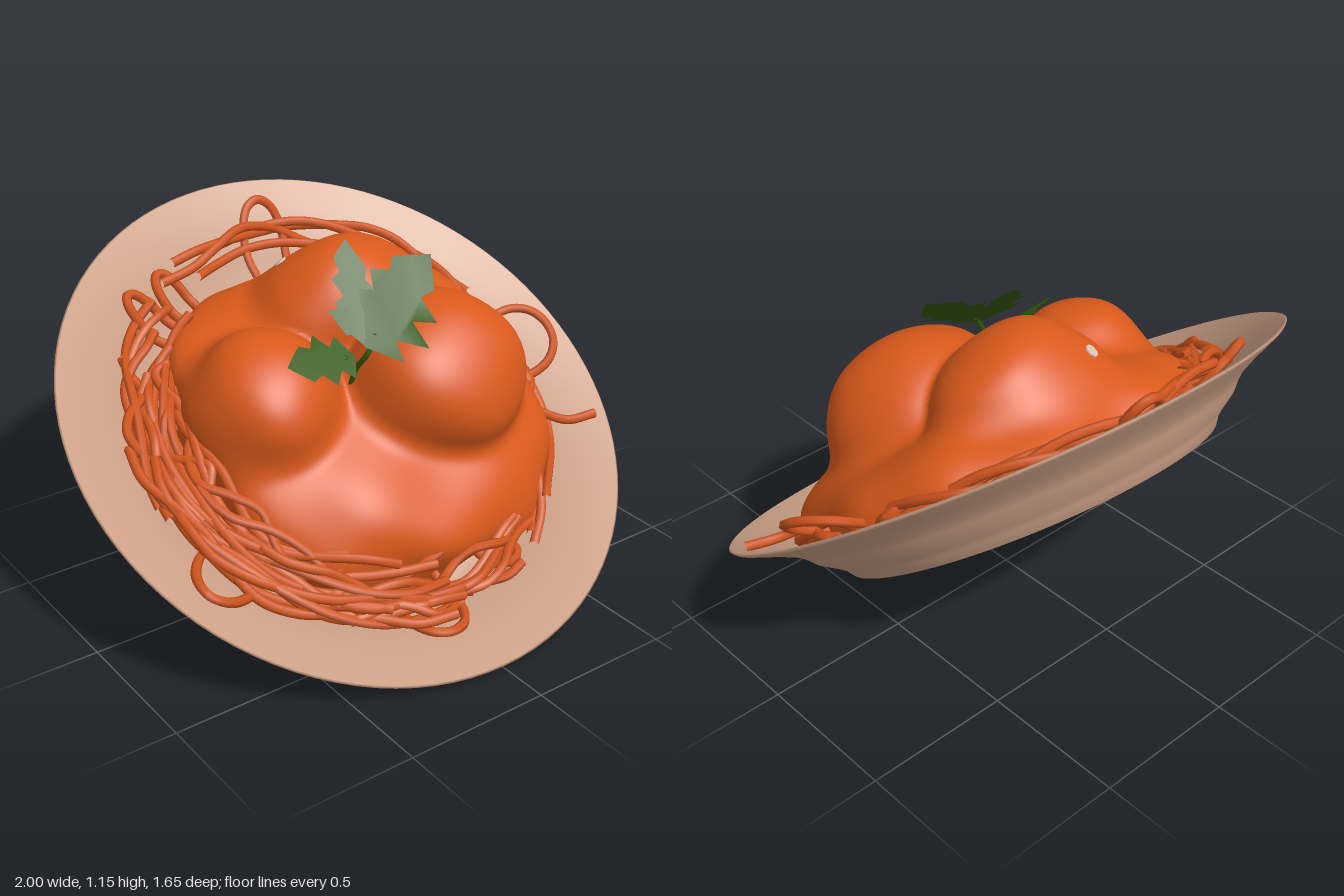
import * as THREE from 'three';
import { mergeVertices } from 'three/addons/utils/BufferGeometryUtils.js';

const TILT = Math.atan2(1.13, 1.65);
const CENTRE = new THREE.Vector3(0, 0.575, 0.005);
const X_AXIS = new THREE.Vector3(1, 0, 0);
const V = (x, y, z) => new THREE.Vector3(x, y, z);
const rad = THREE.MathUtils.degToRad;

function mat(name, color, extra = {}) {
  const m = new THREE.MeshStandardMaterial({ color, ...extra });
  m.name = name;
  return m;
}

let seed = 11;
function rand(a, b) {
  seed = (seed * 16807) % 2147483647;
  return a + (b - a) * (seed / 2147483647);
}

// Distance to a rounded lump: c centre, r radii, e roundness exponent
function lump(p, c, r, e) {
  const s = Math.abs((p.x - c[0]) / r[0]) ** e + Math.abs((p.y - c[1]) / r[1]) ** e + Math.abs((p.z - c[2]) / r[2]) ** e;
  return (s ** (1 / e) - 1) * Math.min(...r);
}
function blend(a, b, k) {
  const h = Math.max(k - Math.abs(a - b), 0) / k;
  return Math.min(a, b) - h * h * k * 0.25;
}

// Sauce mound with three meatballs, in the plate's own frame
const BALLS = [
  [[0.25, 0.165, 0.04], [0.325, 0.285, 0.295]],
  [[-0.33, 0.075, -0.08], [0.245, 0.245, 0.25]],
  [[0.125, 0.105, -0.333], [0.315, 0.245, 0.245]],
];
function field(p) {
  const mound = lump(p, [0.1, -0.12, -0.01], [0.65, 0.28, 0.615], 2.7);
  let balls = 1e3;
  for (const [c, r] of BALLS) balls = blend(balls, lump(p, c, r, 2), 0.02);
  const bumps = 0.007 * Math.sin(13 * p.x + 1) * Math.sin(12 * p.z) + 0.005 * Math.sin(21 * p.y + 9 * p.x);
  return blend(mound, balls, 0.06) - bumps;
}
const CORE = V(0.1, -0.05, -0.08);
function surfacePoint(dir) {
  const p = V(0, 0, 0);
  let t = 1.1;
  for (let i = 0; i < 90; i++) {
    p.copy(CORE).addScaledVector(dir, t);
    t -= field(p) * 0.6;
  }
  return p.copy(CORE).addScaledVector(dir, t);
}
function sauceGeometry() {
  let g = new THREE.IcosahedronGeometry(1, 48);
  g.deleteAttribute('normal');
  g.deleteAttribute('uv');
  g = mergeVertices(g, 1e-5);
  const pos = g.attributes.position;
  for (let i = 0; i < pos.count; i++) {
    const p = surfacePoint(V(0, 0, 0).fromBufferAttribute(pos, i).normalize());
    // The underside rests on the plate's inner surface
    const rest = -0.195 + Math.max(Math.hypot(p.x, p.z) - 0.62, 0) * 0.62;
    pos.setXYZ(i, p.x, Math.max(p.y, rest), p.z);
  }
  g.computeVertexNormals();
  return g;
}

// Toothed leaf from base to tip, bent in depth by a rule and kept above the sauce
function leafGeometry([bx, by], [tx, ty], width, teeth, depth) {
  const base = new THREE.Vector2(bx, by);
  const axis = new THREE.Vector2(tx - bx, ty - by);
  const side = new THREE.Vector2(-axis.y, axis.x).normalize();
  const at = (t, w) => base.clone().addScaledVector(axis, t).addScaledVector(side, w);
  const left = [], right = [];
  for (let i = 0; i < teeth; i++) {
    const t = (i + 0.5) / (teeth + 0.5);
    const w = width * Math.sin(Math.PI * (0.22 + 0.72 * t));
    for (const [s, list] of [[1, left], [-1, right]]) {
      list.push(at(t, s * w), at(t + 0.4 / teeth, s * w * 0.55));
    }
  }
  const g = new THREE.ShapeGeometry(new THREE.Shape([base, ...right, at(1, 0), ...left.reverse()]));
  const pos = g.attributes.position;
  for (let i = 0; i < pos.count; i++) {
    const p = V(pos.getX(i), pos.getY(i), 0);
    p.z = depth(p.x, p.y);
    const inside = () => field(p.clone().sub(CENTRE).applyAxisAngle(X_AXIS, -TILT)) < 0.02;
    for (let k = 0; k < 20 && inside(); k++) p.z += 0.01;
    pos.setZ(i, p.z);
  }
  g.computeVertexNormals();
  return g;
}

function tube(points, radius) {
  return new THREE.TubeGeometry(new THREE.CatmullRomCurve3(points), points.length * 6, radius, 6);
}

// Height of the plate's inner wall at radius r
const plateFloor = (r) => -0.15 + Math.max(r - 0.69, 0) * 0.55;

export function createModel() {
  const model = new THREE.Group();
  model.name = 'spaghettiPlate';
  const plateMat = mat('clay', 0xcda187);
  const sauceMat = mat('tomatoSauce', 0xd9591b);
  const noodleMat = mat('noodle', 0xd1551e);
  const leafMat = mat('leafGreen', 0x355a0a, { side: THREE.DoubleSide });
  const speckMat = mat('paleSpeck', 0xe0c4b4);

  const add = (parent, name, geometry, material) => {
    const mesh = new THREE.Mesh(geometry, material);
    mesh.name = name;
    parent.add(mesh);
    return mesh;
  };

  // Everything on the dish shares its tilt
  const dish = new THREE.Group();
  dish.name = 'tiltedDish';
  dish.position.copy(CENTRE);
  dish.rotation.x = TILT;
  model.add(dish);

  // Plate: underside, outer wall, rim, inner wall, well
  const profile = [
    [0, -0.238], [0.65, -0.238], [0.665, -0.24], [0.685, -0.21], [0.715, -0.185],
    [0.765, -0.15], [0.79, -0.12], [0.825, -0.09], [0.9, -0.05], [0.99, -0.01], [1, 0],
    [0.993, 0.004], [0.9, -0.035], [0.82, -0.075], [0.74, -0.125], [0.68, -0.175], [0.62, -0.2], [0, -0.205],
  ].map(([x, y]) => new THREE.Vector2(x, y));
  add(dish, 'plate', new THREE.LatheGeometry(profile, 96), plateMat);

  add(dish, 'sauceAndMeatballs', sauceGeometry(), sauceMat);

  // Pale speck on the rear meatball
  const spot = surfacePoint(V(-0.05, 0.17, -0.535).sub(CORE).normalize());
  const slope = (axis) => field(spot.clone().addScaledVector(axis, 0.01)) - field(spot.clone().addScaledVector(axis, -0.01));
  const normal = V(slope(V(1, 0, 0)), slope(V(0, 1, 0)), slope(V(0, 0, 1))).normalize();
  const speck = add(dish, 'speck', new THREE.CylinderGeometry(0.024, 0.024, 0.009, 8), speckMat);
  speck.position.copy(spot);
  speck.quaternion.setFromUnitVectors(V(0, 1, 0), normal);

  // Strands winding round the mound: start, end, count, inner, outer (0 degrees = +x, 90 = front)
  const noodles = new THREE.Group();
  noodles.name = 'noodles';
  dish.add(noodles);
  const zones = [
    [85, 215, 17, 0.58, 0.77],
    [50, 130, 8, 0.64, 0.74],
    [165, 235, 8, 0.56, 0.78],
    [240, 350, 4, 0.72, 0.82],
    [-45, 60, 4, 0.7, 0.77],
  ];
  for (const [from, to, count, inner, outer] of zones) {
    for (let i = 0; i < count; i++) {
      const span = (to - from) * rand(0.5, 0.95);
      const start = from + rand(0, to - from - span);
      const base = rand(inner, outer);
      const swing = rand(0.01, 0.045), waves = rand(0.5, 1.5), phase = rand(0, 6.28);
      const points = [];
      for (let k = 0; k <= 10; k++) {
        const a = rad(start + span * k / 10);
        const r = Math.min(base + swing * Math.sin(waves * k + phase), 0.83);
        const lift = 0.048 + 0.03 * Math.sin(k * 0.8 + phase * 2) + (0.83 - r) * 0.4;
        points.push(V(r * Math.cos(a), plateFloor(r) + lift, r * Math.sin(a)));
      }
      add(noodles, 'strand', tube(points, 0.0165), noodleMat);
    }
  }

  // Loops reaching outward: angle, inner radius, reach, half width, lift
  const loops = [
    [151, 0.55, 0.36, 0.13, 0.05],
    [-4, 0.66, 0.24, 0.17, 0.09],
    [277, 0.62, 0.28, 0.1, 0.05],
    [96, 0.6, 0.23, 0.13, 0.05],
    [231, 0.6, 0.24, 0.06, 0.06],
    [242, 0.6, 0.21, 0.06, 0.06],
    [65, 0.56, 0.18, 0.08, 0.05],
  ];
  for (const [angle, inner, reach, half, lift] of loops) {
    const points = [];
    for (let k = 0; k <= 8; k++) {
      const u = Math.PI * k / 8;
      const r = inner + reach * Math.sin(u);
      points.push(V(r, plateFloor(r) + lift, -half * Math.cos(u) * (0.6 + 0.6 * Math.sin(u))).applyAxisAngle(V(0, 1, 0), -rad(angle)));
    }
    add(noodles, 'loopStrand', tube(points, 0.0165), noodleMat);
  }
  add(noodles, 'looseEnd', tube([V(0.6, -0.04, 0.1), V(0.7, -0.02, 0.22), V(0.79, -0.02, 0.29), V(0.9, 0, 0.31)], 0.0165), noodleMat);

  // Parsley sprig: a large leaf of three lobes, a small leaf and their stems
  const sprig = new THREE.Group();
  sprig.name = 'parsleySprig';
  model.add(sprig);
  const largeDepth = (x, y) => 0.19 - 1.1 * (y - 0.9) + 0.35 * x + 0.9 * x * x;
  const smallDepth = (x, y) => 0.14 - 1.5 * (y - 0.87) - 0.1 * (x + 0.2);
  add(sprig, 'largeLeaf', leafGeometry([-0.07, 0.89], [0.25, 1.11], 0.085, 4, largeDepth), leafMat);
  add(sprig, 'largeLeafUpperLobe', leafGeometry([-0.065, 0.89], [0.035, 1.155], 0.07, 4, largeDepth), leafMat);
  add(sprig, 'largeLeafSideLobe', leafGeometry([-0.02, 0.91], [-0.13, 0.99], 0.045, 2, largeDepth), leafMat);
  add(sprig, 'smallLeaf', leafGeometry([-0.09, 0.855], [-0.35, 0.885], 0.055, 3, smallDepth), leafMat);
  const stems = [
    [V(-0.07, 0.73, 0.1), V(-0.068, 0.8, 0.13), V(-0.055, 0.86, 0.17), V(-0.02, 0.92, 0.165)],
    [V(-0.07, 0.77, 0.12), V(-0.09, 0.82, 0.14), V(-0.13, 0.86, 0.15)],
  ];
  for (const stem of stems) add(sprig, 'stem', tube(stem, 0.009), leafMat);

  return model;
}
